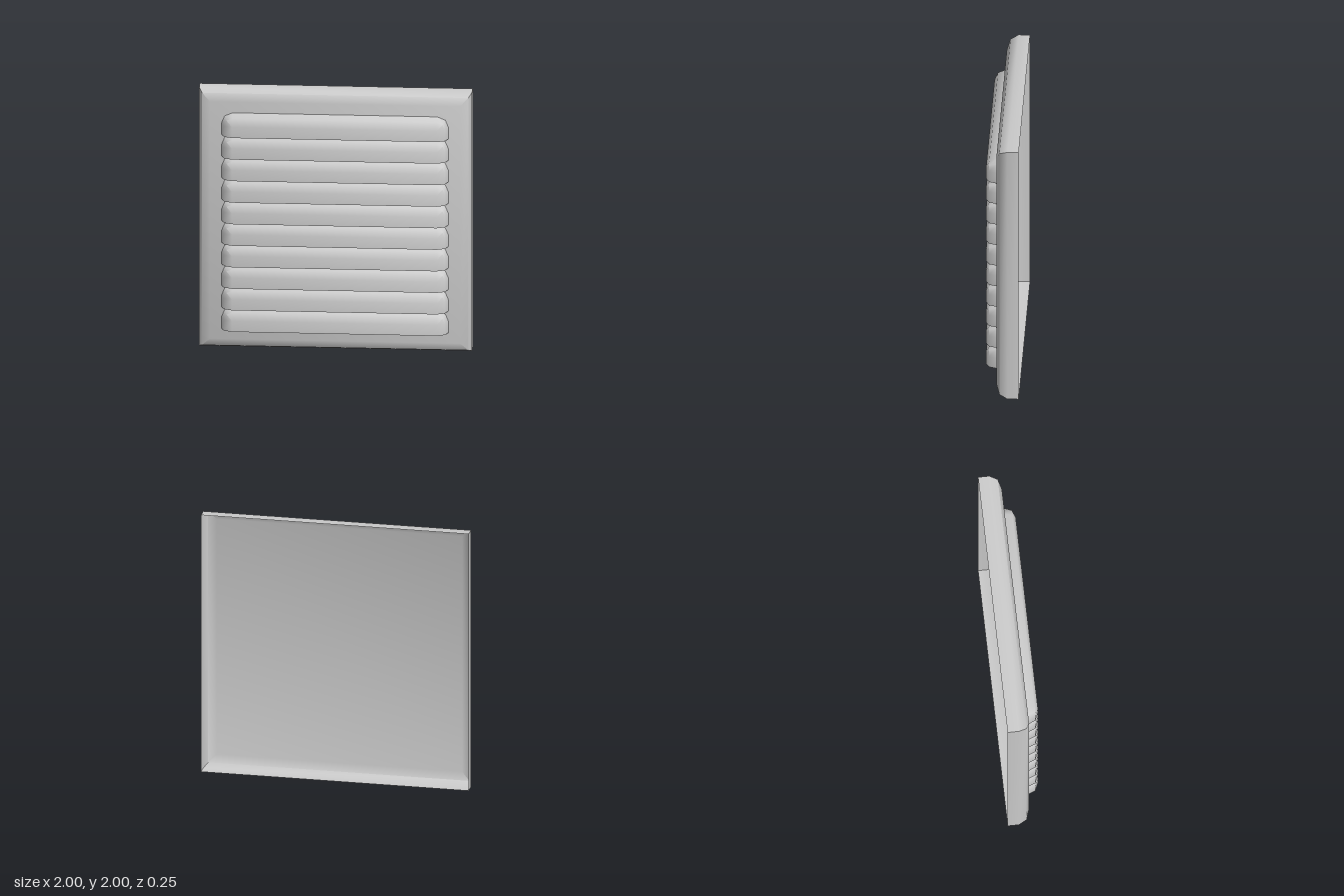
import * as THREE from 'three';
import { toCreasedNormals } from 'three/addons/utils/BufferGeometryUtils.js';

const R = 1 / 12; // rounding radius shared by plate and slats
const D = R * (1 - Math.SQRT1_2);

// Skin a stack of outlines (clockwise from the front, back to front) and cap the last.
function loft(rings, closed) {
  const pos = [];
  const tri = (a, b, c) => {
    if (new THREE.Triangle(a, b, c).getArea() > 1e-8) {
      for (const p of [a, b, c]) pos.push(p.x, p.y, p.z);
    }
  };
  for (let i = 0; i < rings.length - 1; i++) {
    const a = rings[i], b = rings[i + 1], n = a.length;
    for (let j = 0; j < (closed ? n : n - 1); j++) {
      const k = (j + 1) % n;
      tri(a[j], b[j], b[k]);
      tri(a[j], b[k], a[k]);
    }
  }
  const cap = rings[rings.length - 1];
  for (let k = 1; k < cap.length - 1; k++) tri(cap[0], cap[k + 1], cap[k]);
  const geometry = new THREE.BufferGeometry();
  geometry.setAttribute('position', new THREE.Float32BufferAttribute(pos, 3));
  return toCreasedNormals(geometry, THREE.MathUtils.degToRad(50));
}

// Square outline for the plate
function plateRing(inset, z) {
  const w = 1 - inset;
  return [[-w, inset], [-w, 2 - inset], [w, 2 - inset], [w, inset]]
    .map(([x, y]) => new THREE.Vector3(x, y, z));
}

// Hood outline: open at the bottom, rounded upper corners
function slatRing(inset, z) {
  const w = 5 / 6 - inset, top = 1 / 6 - inset, r = R - inset;
  const left = [[-w, 0]];
  for (let i = 0; i <= 2; i++) {
    const t = i * Math.PI / 4;
    left.push([-w + r - r * Math.cos(t), top - r + r * Math.sin(t)]);
  }
  const right = left.map(([x, y]) => [-x, y]).reverse();
  return [...left, ...right].map(([x, y]) => new THREE.Vector3(x, y, z));
}

export function createModel() {
  const group = new THREE.Group();
  group.name = 'ventGrille';
  const material = new THREE.MeshStandardMaterial({ color: 0xcccccc, side: THREE.DoubleSide });

  // Thin cover plate, open at the back, with a rounded front rim
  const face = R / 2;
  const plate = new THREE.Mesh(loft([
    plateRing(0, -0.125),
    plateRing(0, face - R),
    plateRing(D, face - D),
    plateRing(R, face),
  ], true), material);
  plate.name = 'coverPlate';
  group.add(plate);

  // Ten pressed hoods stacked up the plate
  const slatGeometry = loft([
    slatRing(0, face),
    slatRing(D, face + R - D),
    slatRing(R, face + R),
  ], false);
  for (let i = 0; i < 10; i++) {
    const slat = new THREE.Mesh(slatGeometry, material);
    slat.name = `louvre${i + 1}`;
    slat.position.y = (i + 1) / 6;
    group.add(slat);
  }
  return group;
}
